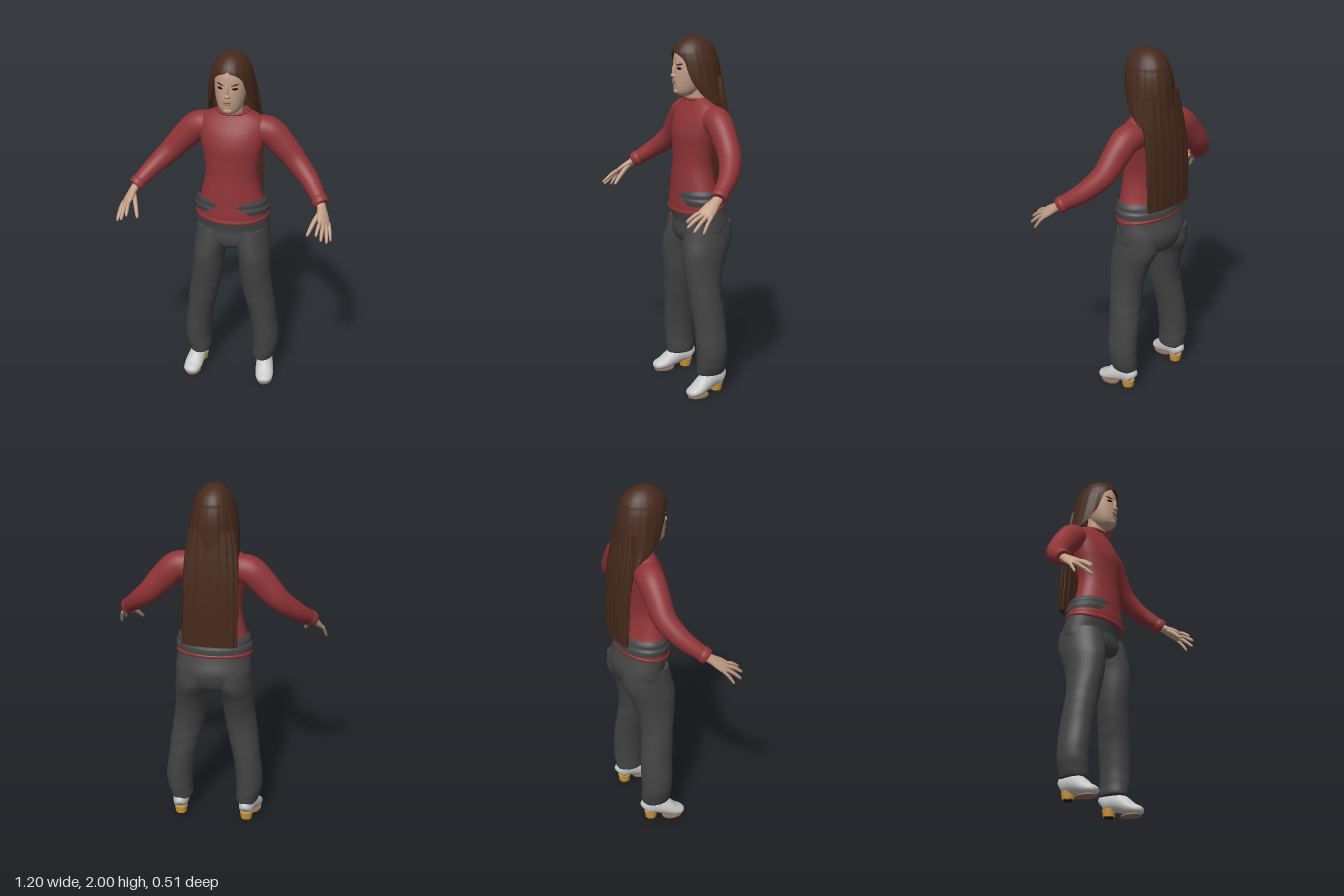
import * as THREE from 'three';

const V = (x, y, z) => new THREE.Vector3(x, y, z);
const material = (name, color, side = THREE.FrontSide) => {
  const m = new THREE.MeshStandardMaterial({ color, side });
  m.name = name;
  return m;
};

// Catmull-Rom interpolation through rows of numbers
function smooth(rows, n) {
  const out = [];
  for (let i = 0; i < rows.length - 1; i++) {
    const a = rows[Math.max(i - 1, 0)], b = rows[i], c = rows[i + 1];
    const d = rows[Math.min(i + 2, rows.length - 1)];
    for (let k = 0; k < n; k++) {
      const t = k / n;
      out.push(b.map((p, j) => {
        const cubic = 3 * (p - c[j]) + d[j] - a[j];
        const square = 2 * a[j] - 5 * p + 4 * c[j] - d[j];
        return p + 0.5 * t * (c[j] - a[j] + t * (square + t * cubic));
      }));
    }
  }
  out.push(rows[rows.length - 1]);
  return out;
}

// Skin over rings of points; closed rings can be capped
function skinRings(rings, closed, capped) {
  const pos = [], idx = [], n = rings[0].length;
  rings.forEach(r => r.forEach(p => pos.push(p.x, p.y, p.z)));
  for (let i = 0; i < rings.length - 1; i++) {
    for (let j = 0; j < (closed ? n : n - 1); j++) {
      const a = i * n + j, b = i * n + (j + 1) % n;
      idx.push(a, b, b + n, a, b + n, a + n);
    }
  }
  if (capped) [rings[0], rings[rings.length - 1]].forEach((ring, end) => {
    const base = pos.length / 3, c = V(0, 0, 0);
    ring.forEach(p => { pos.push(p.x, p.y, p.z); c.addScaledVector(p, 1 / n); });
    pos.push(c.x, c.y, c.z);
    for (let j = 0; j < n; j++) {
      const a = base + j, b = base + (j + 1) % n;
      if (end) idx.push(a, b, base + n); else idx.push(b, a, base + n);
    }
  });
  const g = new THREE.BufferGeometry();
  g.setAttribute('position', new THREE.Float32BufferAttribute(pos, 3));
  g.setIndex(idx);
  g.computeVertexNormals();
  return g;
}

// Level rings, bottom to top: [y, centreX, frontZ, backZ, halfWidth, tilt, frontOpening]
function loft(rows, { seg = 36, open = false, ripple = () => 1 } = {}) {
  const rings = smooth(rows.map(r => [...r, 0, 0].slice(0, 7)), 4).map(([y, cx, f, b, w, tilt, gap]) =>
    Array.from({ length: seg }, (_, j) => {
      const t = open ? gap + (2 * Math.PI - 2 * gap) * j / (seg - 1) : 2 * Math.PI * j / seg;
      const k = ripple(t, y);
      return V(cx + w * k * Math.sin(t), y - tilt * Math.cos(t), (f + b) / 2 + (f - b) / 2 * k * Math.cos(t));
    }));
  return skinRings(rings, !open, !open);
}

// Limb along a path: [x, y, z, widthRadius, thicknessRadius]
function limb(rows, hint, seg = 20) {
  const r = smooth(rows, 4);
  const rings = r.map((p, i) => {
    const a = r[Math.max(i - 1, 0)], b = r[Math.min(i + 1, r.length - 1)];
    const T = V(b[0] - a[0], b[1] - a[1], b[2] - a[2]).normalize();
    const u = hint.clone().addScaledVector(T, -hint.dot(T)).normalize();
    const v = u.clone().cross(T);
    return Array.from({ length: seg }, (_, j) => {
      const t = 2 * Math.PI * j / seg;
      return V(p[0], p[1], p[2]).addScaledVector(u, p[3] * Math.sin(t)).addScaledVector(v, p[4] * Math.cos(t));
    });
  });
  return skinRings(rings, true, true);
}

export function createModel() {
  const model = new THREE.Group();
  const shirt = material('red shirt', 0x8f3437);
  const trousers = material('charcoal trousers', 0x434343, THREE.DoubleSide);
  const hair = material('brown hair', 0x46291c, THREE.DoubleSide);
  const skin = material('skin', 0xc09c85);
  const shoe = material('light grey shoe', 0xc6c6c6);
  const gold = material('gold heel', 0xcf9836);
  const sole = material('tan sole', 0x93705c);
  const dark = material('near black', 0x1c1614);
  const lip = material('lips', 0x8f6a5c);
  const add = (name, geo, mat, parent = model) => {
    const m = new THREE.Mesh(geo, mat);
    m.name = name;
    parent.add(m);
    return m;
  };

  // Shirt body, hem raised at the back
  add('shirtBody', loft([
    [1.06, 0, .056, -.215, .202, .02], [1.09, 0, .057, -.205, .203, .012], [1.14, 0, .053, -.19, .186],
    [1.2, 0, .05, -.172, .167], [1.3, 0, .044, -.16, .147], [1.4, 0, .044, -.17, .157],
    [1.47, 0, .044, -.183, .172], [1.54, 0, .025, -.188, .186], [1.6, 0, -.005, -.182, .188],
    [1.64, 0, -.025, -.165, .145], [1.665, 0, -.033, -.14, .088]]), shirt);
  const collar = add('collar', new THREE.TorusGeometry(1, .1, 8, 40), shirt);
  collar.rotation.x = Math.PI / 2 + .12;
  collar.scale.set(.086, .06, .08);
  collar.position.set(0, 1.663, -.085);
  add('hemBand', loft([[1.052, 0, .061, -.222, .206, .018], [1.062, 0, .064, -.226, .209, .018],
    [1.072, 0, .061, -.222, .206, .016]]), shirt);

  // Trousers: waistband open at the front, hips and legs
  add('waistband', loft([
    [1.088, 0, .062, -.225, .21, 0, .62], [1.115, 0, .066, -.222, .211, 0, .5], [1.13, 0, .062, -.215, .201, 0, .36],
    [1.15, 0, .062, -.21, .2, 0, .3], [1.17, 0, .056, -.2, .186, 0, .75]], { open: true }), trousers);
  add('hips', loft([[.862, 0, .01, -.2, .1], [.885, 0, .035, -.225, .18], [.93, 0, .042, -.243, .209],
    [.98, 0, .036, -.248, .21], [1.04, 0, .045, -.228, .203], [1.09, 0, .045, -.212, .195]]), trousers);

  for (const s of [1, -1]) {
    const side = new THREE.Group();
    side.name = s > 0 ? 'leftLimbs' : 'rightLimbs';
    model.add(side);
    const mirror = rows => rows.map(([x, ...rest]) => [s * x, ...rest]);

    // Trouser leg with soft folds at knee and ankle
    const bump = (y, centre, width) => Math.exp(-Math.pow((y - centre) / width, 2));
    const folds = (t, y) => 1 + .018 * Math.sin(y * 75 + 2 * Math.sin(t)) * (bump(y, .54, .08) + bump(y, .18, .07));
    const legRows = [
      [.115, .19, 0, -.155, .056], [.13, .192, .006, -.163, .064], [.2, .203, .01, -.167, .073],
      [.28, .203, .014, -.168, .077], [.4, .187, .02, -.165, .077], [.5, .17, .03, -.156, .084],
      [.6, .152, .04, -.15, .088], [.7, .138, .055, -.165, .088], [.8, .13, .062, -.198, .091],
      [.85, .121, .057, -.222, .097], [.9, .111, .048, -.238, .102], [.98, .108, .03, -.235, .095]];
    add('trouserLeg', loft(legRows.map(([y, x, ...r]) => [y, s * x, ...r]), { ripple: folds }), trousers, side);

    // Shoe sections: [z, bottom, top, x, halfWidth]
    const shoeRows = [
      [-.158, .06, .1, .19, .02], [-.14, .038, .14, .192, .04], [-.08, .034, .142, .2, .046],
      [-.03, .02, .118, .208, .051], [.02, .006, .077, .217, .053], [.06, .004, .055, .224, .044],
      [.077, .007, .042, .227, .028], [.083, .015, .03, .228, .01]];
    add('shoe', limb(shoeRows.map(([z, b, t, x, w]) => [s * x, (b + t) / 2, z, w, (t - b) / 2]), V(-1, 0, 0)), shoe, side);
    const plate = add('sole', new THREE.CylinderGeometry(1, 1, .008, 28), sole, side);
    plate.scale.set(.045, 1, .062);
    plate.position.set(s * .219, .004, .015);
    const heel = add('heel', new THREE.CylinderGeometry(.038, .032, .042, 20), gold, side);
    heel.position.set(s * .194, .03, -.112);
    const tip = add('heelTip', new THREE.CylinderGeometry(.026, .026, .008, 20), dark, side);
    tip.position.set(s * .194, .007, -.112);

    // Sleeve and cuff
    const sleeveAxis = V(s * .7, .7, 0);
    add('sleeve', limb(mirror([
      [.11, 1.555, -.105, .075, .07], [.195, 1.55, -.108, .079, .075], [.27, 1.48, -.107, .075, .068],
      [.35, 1.39, -.098, .064, .062], [.435, 1.31, -.043, .052, .052], [.495, 1.25, .028, .042, .042],
      [.515, 1.228, .056, .038, .038]]), sleeveAxis, 28), shirt, side);
    add('cuff', limb(mirror([[.5, 1.244, .035, .041, .041], [.506, 1.238, .043, .045, .045],
      [.517, 1.226, .059, .043, .043], [.521, 1.222, .064, .037, .037]]), sleeveAxis), shirt, side);

    // Hand with spread fingers
    const across = V(s * .72, -.45, -.5);
    add('palm', limb(mirror([[.508, 1.235, .045, .028, .024], [.525, 1.208, .082, .028, .02],
      [.537, 1.182, .118, .038, .018], [.547, 1.158, .15, .04, .014], [.551, 1.148, .163, .03, .008]]), across), skin, side);
    const fingers = [
      ['littleFinger', [.574, 1.142, .133], [.593, 1.07, .185], .009],
      ['ringFinger', [.56, 1.147, .15], [.578, 1.08, .232], .01],
      ['middleFinger', [.547, 1.156, .161], [.548, 1.1, .254], .0105],
      ['indexFinger', [.53, 1.168, .162], [.52, 1.122, .245], .01],
      ['thumb', [.515, 1.19, .105], [.468, 1.1, .212], .012]];
    for (const [name, a, b, r] of fingers) {
      const at = (t, lift, k) => [...a.map((p, i) => p + (b[i] - p) * t + (i === 1 ? lift : 0)), r * k, r * k];
      const rows = [at(-.12, 0, 1), at(.4, .007, 1.03), at(.8, .004, .85), at(.96, .001, .6), at(1, 0, .2)];
      add(name, limb(mirror(rows), across, 12), skin, side);
    }
  }

  // Neck and head
  add('neck', loft([[1.6, 0, -.03, -.14, .065], [1.66, 0, -.025, -.13, .06], [1.76, 0, -.01, -.12, .057]]), skin);
  add('head', loft([
    [1.677, 0, .018, -.03, .022], [1.69, 0, .042, -.06, .048], [1.72, 0, .053, -.095, .067],
    [1.77, 0, .057, -.125, .08], [1.83, 0, .054, -.145, .088], [1.9, 0, .045, -.15, .087],
    [1.95, 0, .015, -.13, .068], [1.975, 0, -.03, -.09, .03]]), skin);

  // Facial features as small flattened forms
  const ball = new THREE.SphereGeometry(1, 20, 12);
  const feature = (name, mat, position, size, yaw = 0, roll = 0) => {
    const m = add(name, ball, mat);
    m.position.set(...position);
    m.scale.set(...size);
    m.rotation.set(0, yaw, roll);
  };
  feature('noseBridge', skin, [0, 1.815, .054], [.009, .034, .013]);
  feature('noseTip', skin, [0, 1.79, .06], [.015, .012, .014]);
  feature('chin', skin, [0, 1.705, .041], [.026, .016, .014]);
  feature('upperLip', lip, [0, 1.755, .056], [.025, .005, .005]);
  feature('lowerLip', lip, [0, 1.745, .056], [.02, .005, .005]);
  for (const s of [1, -1]) {
    feature('nostrilWing', skin, [s * .012, 1.786, .055], [.008, .008, .009]);
    feature('eye', dark, [s * .04, 1.83, .0435], [.017, .007, .004], s * .5);
    feature('eyebrow', hair, [s * .04, 1.851, .043], [.023, .0045, .004], s * .5, s * .2);
  }

  // Hair: cap framing the face, then a long sheet down the back
  const strands = (t, y) => .012 * Math.sin(17 * t) + .008 * Math.sin(31 * t + 4 * y);
  add('hairCap', loft([
    [1.56, 0, -.11, -.222, .135, 0, 1.75], [1.62, 0, -.05, -.222, .14, 0, 1.6], [1.68, 0, .01, -.22, .138, 0, 1.2],
    [1.75, 0, .04, -.216, .133, 0, .92], [1.82, 0, .055, -.21, .125, 0, .78], [1.87, 0, .06, -.2, .116, 0, .7],
    [1.9, 0, .06, -.19, .107, 0, .45], [1.92, 0, .056, -.184, .1, 0, .02], [1.955, 0, .034, -.16, .08, 0, 0],
    [1.985, 0, -.005, -.12, .047, 0, 0], [1.997, 0, -.045, -.08, .015, 0, 0], [2, 0, -.06, -.064, .001, 0, 0]],
  { seg: 72, open: true, ripple: (t, y) => 1 + strands(t, y) * Math.min(1, (2 - y) * 5) }), hair);
  add('longHair', loft([
    [1.15, 0, -.2, -.252, .148], [1.3, 0, -.187, -.252, .146], [1.45, 0, -.178, -.246, .144],
    [1.58, 0, -.15, -.235, .14], [1.68, 0, -.12, -.221, .132], [1.78, 0, -.12, -.205, .115]],
  { seg: 96, ripple: (t, y) => 1 + 3 * strands(t, y) }), hair);

  return model;
}
